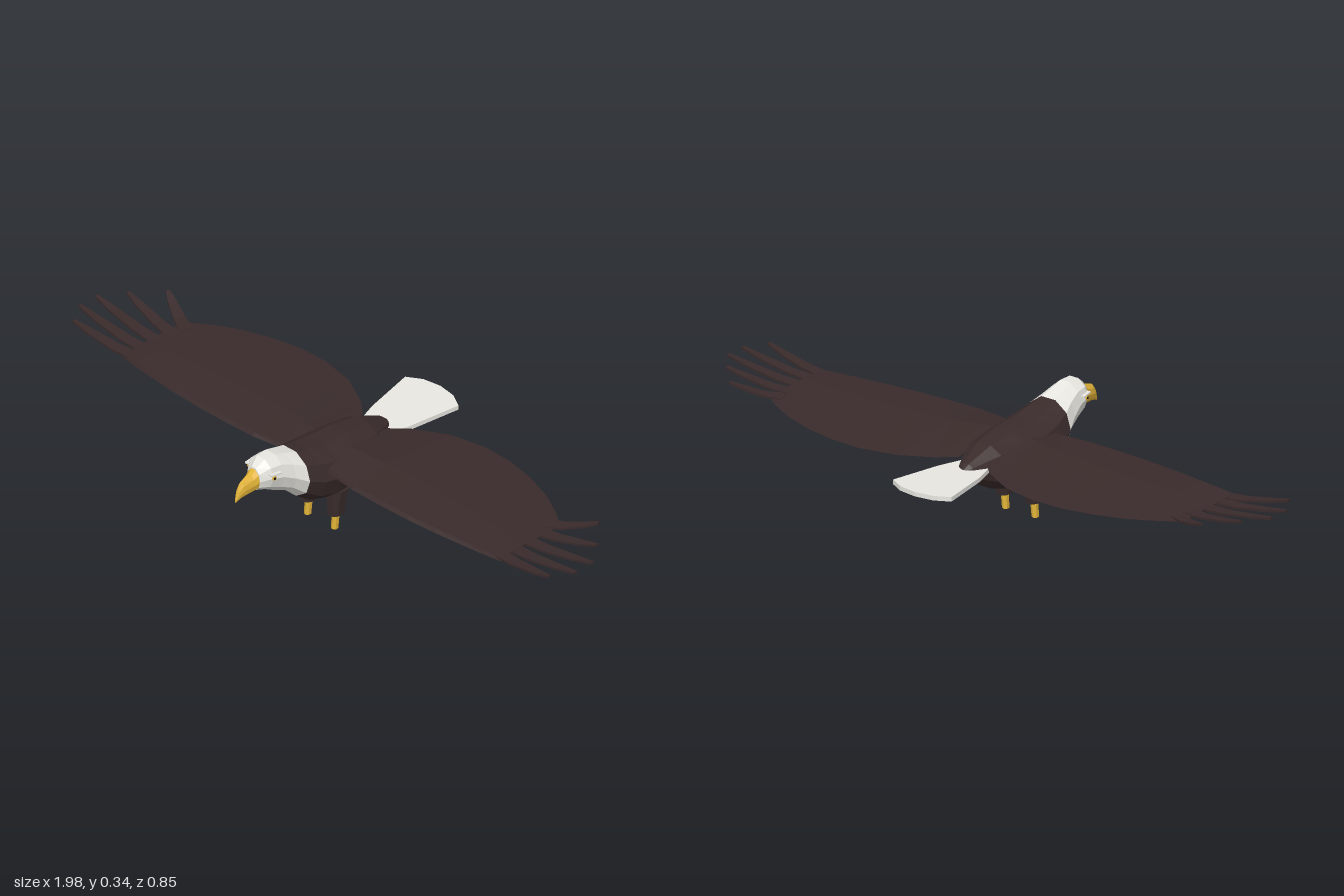
import * as THREE from 'three';

const mat = (name, color) => {
  const m = new THREE.MeshStandardMaterial({ color });
  m.name = name;
  return m;
};

// Faceted skin through closed rings of [x, y, z] points, with both ends capped.
function loft(rings) {
  const pos = [];
  const tri = (...pts) => pts.forEach((p) => pos.push(...p));
  for (let k = 0; k < rings.length - 1; k++) {
    const r0 = rings[k], r1 = rings[k + 1], n = r0.length;
    for (let i = 0; i < n; i++) {
      const j = (i + 1) % n;
      tri(r0[i], r0[j], r1[j]);
      tri(r0[i], r1[j], r1[i]);
    }
  }
  const first = rings[0], last = rings[rings.length - 1];
  for (let i = 1; i < first.length - 1; i++) {
    tri(first[0], first[i + 1], first[i]);
    tri(last[0], last[i], last[i + 1]);
  }
  const g = new THREE.BufferGeometry();
  g.setAttribute('position', new THREE.Float32BufferAttribute(pos, 3));
  g.computeVertexNormals();
  return g;
}

// Mirrors rings to the other side while keeping faces outward.
const onSide = (rings, s) => (s > 0 ? rings
  : rings.map((r) => r.map(([x, y, z]) => [-x, y, z]).reverse()));

// Ten-sided cross-section with a flat top and bottom.
function bodyRing([z, top, bottom, w, mid]) {
  const c = Math.cos(Math.PI / 10), ring = [];
  for (let i = 0; i < 10; i++) {
    const a = (i / 10) * Math.PI * 2, s = Math.sin(a);
    ring.push([w * Math.cos(a), mid + (s / c) * (s > 0 ? top - mid : mid - bottom), z]);
  }
  return ring;
}

export function createModel() {
  const model = new THREE.Group();
  model.name = 'eagle';
  const brown = mat('darkBrown', 0x3a2b2b);
  const white = mat('featherWhite', 0xe9e8e2);
  const yellow = mat('beakYellow', 0xe2b338);
  const black = mat('pupilBlack', 0x0c0c0c);
  const add = (name, geo, material, parent = model) => {
    const m = new THREE.Mesh(geo, material);
    m.name = name;
    parent.add(m);
    return m;
  };

  // Body, head and beak share the same ring rule: z, top, bottom, half width, widest height
  add('body', loft([
    [-0.2, 0.222, 0.2, 0.012, 0.211],
    [-0.185, 0.235, 0.183, 0.03, 0.213],
    [-0.1, 0.27, 0.136, 0.076, 0.212],
    [0, 0.284, 0.104, 0.1, 0.205],
    [0.09, 0.289, 0.104, 0.103, 0.205],
    [0.15, 0.3, 0.123, 0.095, 0.215],
    [0.2, 0.313, 0.16, 0.082, 0.235],
  ].map(bodyRing)), brown);
  add('head', loft([
    [0.2, 0.313, 0.16, 0.082, 0.235],
    [0.24, 0.327, 0.197, 0.066, 0.258],
    [0.28, 0.34, 0.215, 0.056, 0.278],
    [0.32, 0.34, 0.237, 0.05, 0.288],
    [0.35, 0.318, 0.245, 0.027, 0.28],
  ].map(bodyRing)), white);
  add('beak', loft([
    [0.348, 0.315, 0.245, 0.026, 0.278],
    [0.365, 0.302, 0.244, 0.021, 0.272],
    [0.4, 0.292, 0.242, 0.013, 0.265],
    [0.415, 0.274, 0.238, 0.008, 0.255],
    [0.425, 0.245, 0.233, 0.003, 0.239],
  ].map(bodyRing)), yellow);

  // Tail fan
  const fan = new THREE.Shape();
  fan.moveTo(-0.05, 0.14);
  fan.lineTo(0.05, 0.14);
  fan.lineTo(0.075, 0.22);
  fan.lineTo(0.107, 0.39);
  fan.lineTo(0.06, 0.417);
  fan.lineTo(0, 0.426);
  fan.lineTo(-0.06, 0.417);
  fan.lineTo(-0.107, 0.39);
  fan.lineTo(-0.075, 0.22);
  const fanGeo = new THREE.ExtrudeGeometry(fan, { depth: 0.014, bevelEnabled: false });
  fanGeo.rotateX(-Math.PI / 2);
  const tail = add('tail', fanGeo, white);
  tail.position.y = 0.202;
  tail.rotation.x = 0.025;

  // Wing stations: x, leading z, trailing z, top y, bottom y
  const wing = [
    [0.05, 0.125, -0.155, 0.266, 0.222],
    [0.1, 0.135, -0.2, 0.264, 0.223],
    [0.2, 0.148, -0.255, 0.26, 0.225],
    [0.32, 0.148, -0.28, 0.256, 0.226],
    [0.42, 0.145, -0.277, 0.252, 0.227],
    [0.52, 0.138, -0.257, 0.249, 0.228],
    [0.62, 0.127, -0.222, 0.245, 0.229],
    [0.7, 0.117, -0.178, 0.242, 0.23],
    [0.755, 0.108, -0.14, 0.24, 0.231],
  ].map(([x, lead, trail, top, bottom]) => {
    const at = (t) => lead + (trail - lead) * t, mid = (top + bottom) / 2;
    return [
      [x, 0.234, trail], [x, top, at(0.35)], [x, mid + 0.005, at(0.02)],
      [x, mid - 0.006, at(0)], [x, bottom, at(0.35)],
    ];
  });

  // Wingtip feathers: root z, tip x, tip z
  const feathers = [
    [-0.115, 0.862, -0.188], [-0.07, 0.938, -0.103], [-0.015, 0.992, -0.027],
    [0.04, 0.992, 0.042], [0.085, 0.95, 0.11],
  ].map(([rootZ, tipX, tipZ]) => {
    const dx = tipX - 0.72, dz = tipZ - rootZ, len = Math.hypot(dx, dz);
    // t along the feather, height, half width
    return [[0, 0.234, 0.021], [0.35, 0.239, 0.018], [0.75, 0.255, 0.013], [1, 0.268, 0.006]]
      .map(([t, y, h]) => {
        const x = 0.72 + dx * t, z = rootZ + dz * t;
        const ox = (-dz / len) * h, oz = (dx / len) * h, th = 0.0035;
        return [
          [x - ox, y - th, z - oz], [x - ox, y + th, z - oz],
          [x + ox, y + th, z + oz], [x + ox, y - th, z + oz],
        ];
      });
  });

  for (const s of [1, -1]) {
    const side = s > 0 ? 'left' : 'right';
    const wingGroup = new THREE.Group();
    wingGroup.name = side + 'WingGroup';
    model.add(wingGroup);
    add(side + 'Wing', loft(onSide(wing, s)), brown, wingGroup);
    feathers.forEach((f, i) =>
      add(side + 'WingtipFeather' + (i + 1), loft(onSide(f, s)), brown, wingGroup));

    // Feathered thigh tapering downward: y, half width, back z, front z
    const thigh = [[0.05, 0.02, 0.04, 0.088], [0.135, 0.028, 0.024, 0.09]]
      .map(([y, w, z0, z1]) => {
        const x = s * 0.054, m = (z0 + z1) / 2, q = (z1 - z0) / 4;
        return [
          [x + w, y, m + q], [x + w, y, m - q], [x + w / 2, y, z0], [x - w / 2, y, z0],
          [x - w, y, m - q], [x - w, y, m + q], [x - w / 2, y, z1], [x + w / 2, y, z1],
        ];
      });
    add(side + 'Thigh', loft(thigh), brown);

    // Lower leg
    let leg = new THREE.CylinderGeometry(0.012, 0.011, 0.06, 6).toNonIndexed();
    leg.computeVertexNormals();
    leg.translate(s * 0.054, 0.03, 0);
    const p = leg.attributes.position;
    for (let i = 0; i < p.count; i++) p.setZ(i, p.getZ(i) + 0.07 - p.getY(i) * 0.1);
    add(side + 'Leg', leg, yellow);

    // Eye, pupil and brow, angled with the side of the head
    const face = new THREE.Group();
    face.name = side + 'Eye';
    face.position.set(s * 0.0505, 0.289, 0.316);
    face.rotation.y = s * -0.15;
    model.add(face);
    const disc = (r, d) => new THREE.CylinderGeometry(r, r, d, 8).rotateZ(Math.PI / 2);
    add(side + 'Iris', disc(0.007, 0.005), yellow, face);
    add(side + 'Pupil', disc(0.004, 0.007), black, face);
    const brow = add(side + 'Brow', new THREE.BoxGeometry(0.014, 0.005, 0.038), white, face);
    brow.position.set(s * -0.002, 0.012, -0.005);
    brow.rotation.x = -0.06;
  }
  return model;
}
